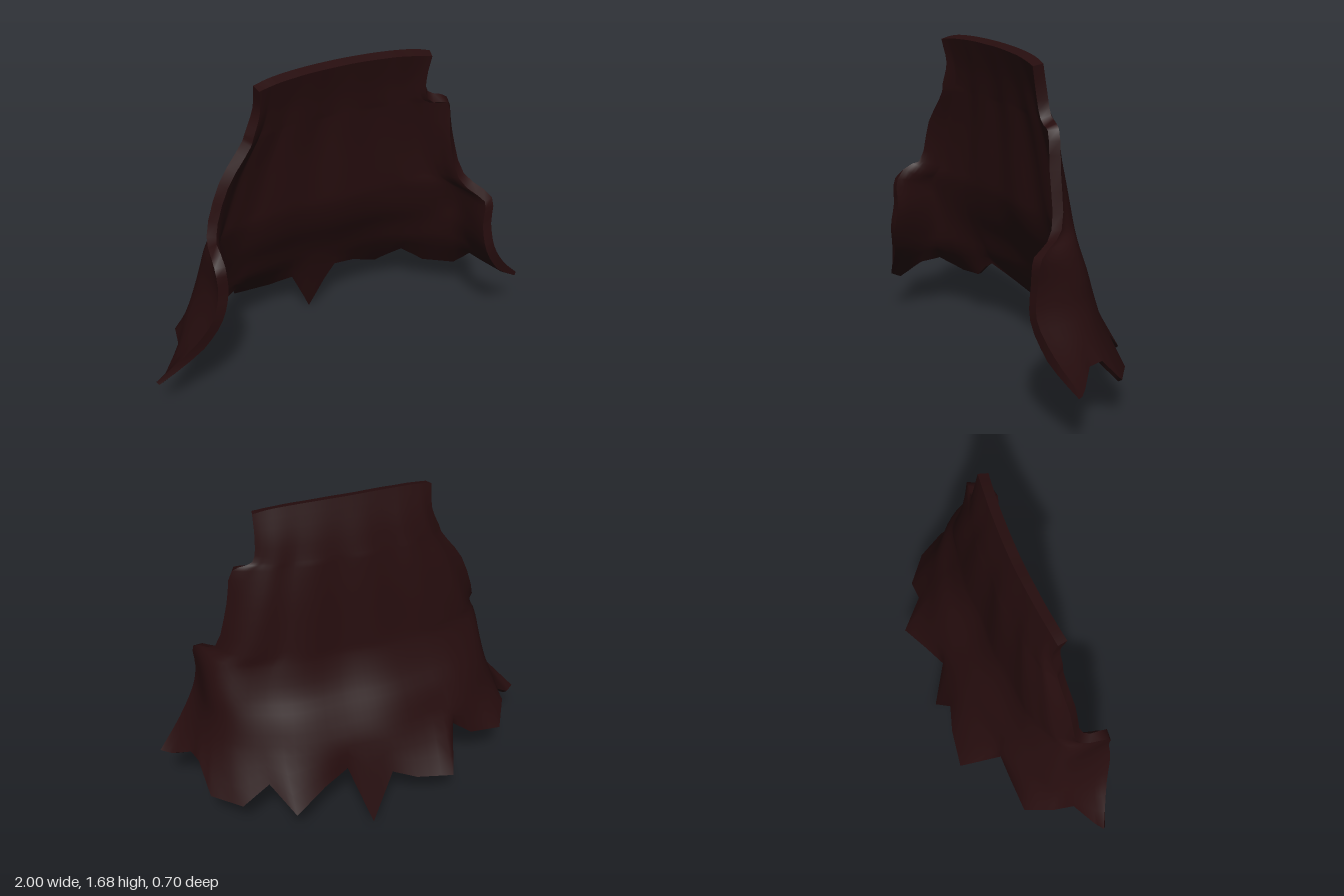
import * as THREE from 'three';

const THICKNESS = 0.05;
const STEPS = 3; // subdivisions between neighbouring rows and hem points

// Cross-sections from the collar down: height, then (x, z) from one front edge round the back to the other
const ROWS = [
  [1.65, [-0.41, 0.125], [-0.34, 0.115], [-0.2, 0.1], [0.03, 0.09], [0.26, 0.1], [0.4, 0.115], [0.47, 0.125]],
  [1.53, [-0.41, 0.105], [-0.35, 0.08], [-0.2, 0.06], [0.03, 0.05], [0.26, 0.06], [0.41, 0.08], [0.47, 0.105]],
  [1.42, [-0.455, 0.115], [-0.38, 0.065], [-0.22, 0.04], [0.03, 0.027], [0.28, 0.04], [0.43, 0.065], [0.49, 0.095]],
  [1.38, [-0.47, 0.115], [-0.4, 0.065], [-0.23, 0.033], [0.03, 0.02], [0.29, 0.033], [0.46, 0.065], [0.585, 0.115]],
  [1.2, [-0.595, 0.13], [-0.48, 0.05], [-0.28, 0.01], [0.02, 0], [0.32, 0.01], [0.52, 0.05], [0.62, 0.125]],
  [0.95, [-0.68, 0.16], [-0.58, 0.05], [-0.34, -0.01], [0.02, -0.02], [0.37, -0.01], [0.61, 0.05], [0.685, 0.16]],
  [0.87, [-0.7, 0.31], [-0.66, 0.09], [-0.38, -0.015], [0.02, -0.03], [0.42, -0.015], [0.7, 0.09], [0.765, 0.31]],
  [0.73, [-0.695, 0.325], [-0.69, 0.06], [-0.42, -0.05], [0.02, -0.08], [0.46, -0.05], [0.73, 0.06], [0.76, 0.33]],
  [0.6, [-0.73, 0.33], [-0.72, 0.04], [-0.45, -0.1], [0.02, -0.15], [0.48, -0.11], [0.74, 0.04], [0.78, 0.345]],
  [0.45, [-0.81, 0.29], [-0.77, 0.025], [-0.47, -0.15], [0.02, -0.22], [0.5, -0.17], [0.78, 0.02], [0.87, 0.31]],
];

// Torn hem: place along the width (0 to 1), then x, y, z
const HEM = [
  [0, -0.995, 0.23, 0.21], [0.04, -0.95, 0.22, 0.18], [0.11, -0.84, 0.325, 0.1], [0.165, -0.82, 0.34, -0.01],
  [0.22, -0.75, 0.26, -0.135], [0.295, -0.58, 0.28, -0.14], [0.335, -0.465, 0.38, -0.15],
  [0.36, -0.39, 0.21, -0.35], [0.425, -0.2, 0.23, -0.32], [0.467, -0.08, 0.27, -0.28],
  [0.507, 0.04, 0.005, -0.33], [0.54, 0.145, 0.32, -0.23], [0.59, 0.28, 0.28, -0.28],
  [0.65, 0.45, 0.19, -0.34], [0.69, 0.55, 0.32, -0.21], [0.755, 0.69, 0.21, -0.205],
  [0.82, 0.825, 0.225, -0.09], [0.86, 0.845, 0.36, 0.04], [0.9, 0.865, 0.36, 0.12],
  [0.95, 0.95, 0.31, 0.2], [1, 1, 0.305, 0.25],
];

// Turns a grid of points into a smooth surface facing (along the row) x (down the rows)
function gridSurface(grid) {
  const cols = grid[0].length;
  const index = [];
  for (let j = 0; j < grid.length - 1; j++) {
    for (let i = 0; i < cols - 1; i++) {
      const a = j * cols + i, b = a + cols;
      index.push(a, a + 1, b, a + 1, b + 1, b);
    }
  }
  const geometry = new THREE.BufferGeometry().setFromPoints(grid.flat());
  geometry.setIndex(index);
  geometry.computeVertexNormals();
  return geometry;
}

// Outer face: a spline runs down each column from the collar to its point on the hem
function outerGrid() {
  const rowCurves = ROWS.map(([y, ...points], r) => new THREE.CatmullRomCurve3(
    points.map(([x, z], i) => new THREE.Vector3(x, y + (r ? 0 : 0.03 * Math.sin(i / 6 * Math.PI)), z))));
  const columns = [];
  for (let h = 0; h < HEM.length - 1; h++) {
    for (let s = h ? 1 : 0; s <= STEPS; s++) {
      const [u, x, y, z] = HEM[h].map((n, k) => THREE.MathUtils.lerp(n, HEM[h + 1][k], s / STEPS));
      const fold = Math.sin(u * 38) * Math.sin(u * Math.PI);
      const points = rowCurves.map((curve, r) => {
        const p = curve.getPoint(u);
        p.z += 0.006 * fold * Math.min(1, r / 3);
        return p;
      });
      points.push(new THREE.Vector3(x, y, z));
      columns.push(new THREE.CatmullRomCurve3(points).getPoints(ROWS.length * STEPS));
    }
  }
  return columns[0].map((_, j) => columns.map((column) => column[j]));
}

export function createModel() {
  const group = new THREE.Group();
  group.name = 'tatteredCape';
  const cloth = new THREE.MeshStandardMaterial({ color: 0x260d0e, side: THREE.DoubleSide });
  cloth.name = 'darkMaroonCloth';

  const add = (name, grid) => {
    const mesh = new THREE.Mesh(gridSurface(grid), cloth);
    mesh.name = name;
    group.add(mesh);
    return mesh;
  };

  // Outer face, and the lining set in along its normals, thinning towards the hem
  const outer = outerGrid();
  const normals = add('outerCloth', outer).geometry.attributes.normal;
  const cols = outer[0].length;
  const last = outer.length - 1;
  const inner = outer.map((row, j) => row.map((p, i) => {
    const n = new THREE.Vector3().fromBufferAttribute(normals, j * cols + i);
    const taper = Math.min(1, 0.4 + 0.2 * (last - j));
    const q = p.clone().addScaledVector(n, -THICKNESS * taper);
    q.y = THREE.MathUtils.clamp(q.y, 0, 1.68);
    return q;
  }));
  add('lining', inner.map((row) => [...row].reverse()));

  // Rims closing the collar, the hem and both front edges
  const edge = (grid, i) => grid.map((row) => row[i]);
  add('collarRim', [inner[0], outer[0]]);
  add('hemRim', [outer[last], inner[last]]);
  add('rightFrontRim', [edge(outer, 0), edge(inner, 0)]);
  add('leftFrontRim', [edge(inner, cols - 1), edge(outer, cols - 1)]);

  return group;
}
